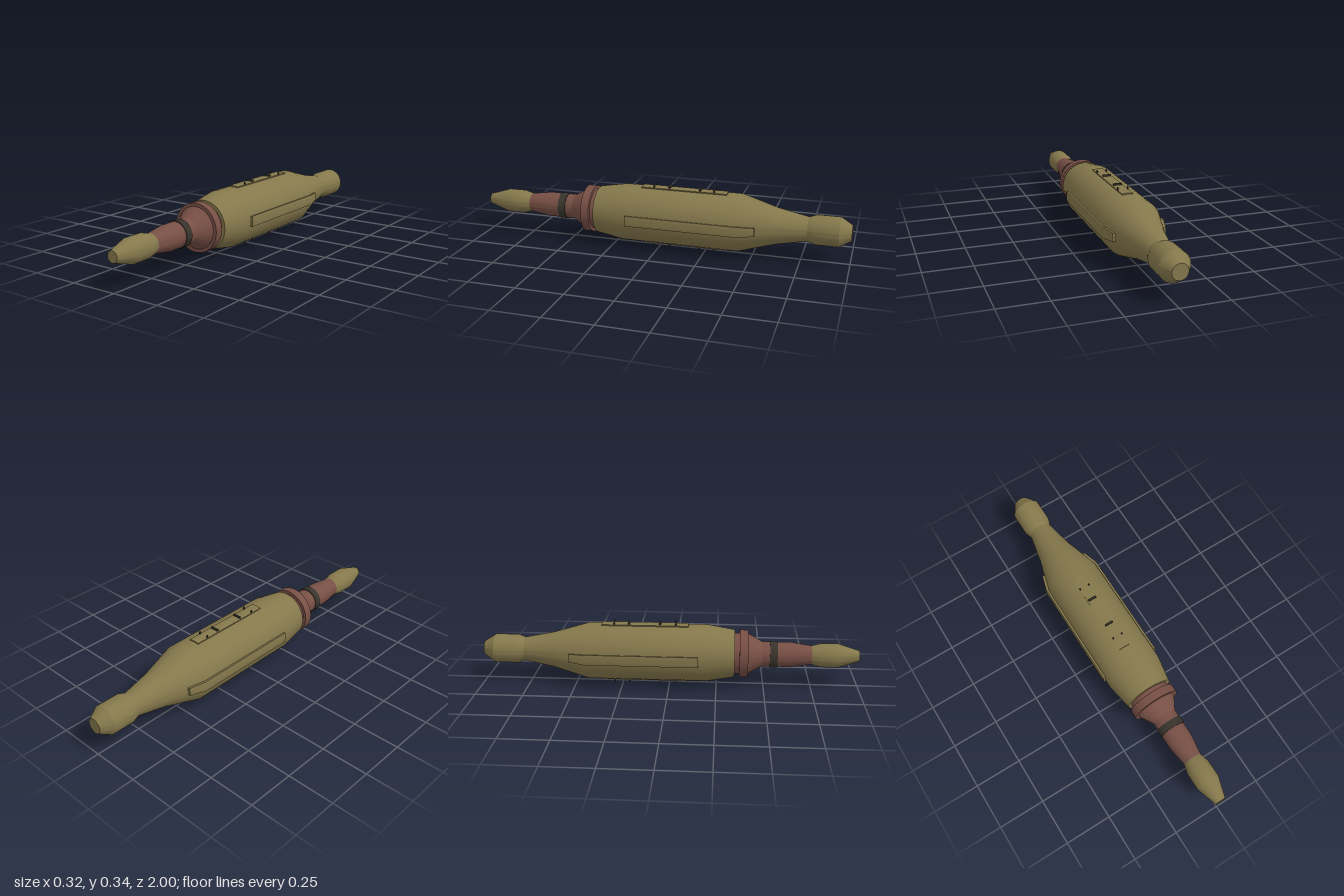
import * as THREE from 'three';
import { toCreasedNormals } from 'three/addons/utils/BufferGeometryUtils.js';

const olive = new THREE.MeshStandardMaterial({ name: 'olive', color: 0x85784c });
const brown = new THREE.MeshStandardMaterial({ name: 'reddish brown', color: 0x774f45 });
const dark = new THREE.MeshStandardMaterial({ name: 'dark grey', color: 0x38342c });

const AXIS_Y = 0.169;

function add(parent, name, geometry, material) {
  const mesh = new THREE.Mesh(geometry, material);
  mesh.name = name;
  parent.add(mesh);
  return mesh;
}

// Round part along z from [z, radius] pairs, listed from back to front
function turned(profile) {
  const points = profile.map(([z, r]) => new THREE.Vector2(r, z));
  const geometry = new THREE.LatheGeometry(points, 64).rotateX(Math.PI / 2);
  return toCreasedNormals(geometry, 0.45);
}

// Raised pad wrapped on the hull's top: [z, outer radius, half width] sections, back to front
function wrappedPad(sections) {
  const n = sections.length - 1;
  const geometry = new THREE.BoxGeometry(1, 1, 1, 8, 1, n);
  const p = geometry.attributes.position;
  for (let i = 0; i < p.count; i++) {
    const [z, r, half] = sections[Math.round((p.getZ(i) + 0.5) * n)];
    const angle = p.getX(i) * 2 * Math.asin(half / r);
    const radius = p.getY(i) > 0 ? r : r - 0.03;
    p.setXYZ(i, radius * Math.sin(angle), radius * Math.cos(angle), z);
  }
  return toCreasedNormals(geometry, 0.4);
}

export function createModel() {
  const model = new THREE.Group();
  model.name = 'model';
  const hull = new THREE.Group();
  hull.name = 'hull';
  hull.position.y = AXIS_Y;
  model.add(hull);

  // Main body with tapered tail and rear bulb
  add(hull, 'body', turned([
    [-1, 0], [-1, 0.04], [-0.94, 0.077], [-0.82, 0.077], [-0.78, 0.063],
    [-0.62, 0.095], [-0.43, 0.151], [0.2, 0.151], [0.345, 0.126], [0.345, 0],
  ]), olive);

  // Collar: recessed neck, flange, flare and slim shaft
  add(hull, 'collar', turned([
    [0.34, 0.108], [0.37, 0.108], [0.37, 0.126], [0.415, 0.126], [0.415, 0.108],
    [0.49, 0.066], [0.64, 0.066], [0.75, 0.05], [0.75, 0],
  ]), brown);
  add(hull, 'shaftBand', turned([
    [0.53, 0.06], [0.53, 0.07], [0.57, 0.07], [0.57, 0.06],
  ]), dark);

  // Nose
  add(hull, 'nose', turned([
    [0.745, 0], [0.745, 0.049], [0.8, 0.063], [0.89, 0.063], [1, 0.029], [1, 0],
  ]), olive);

  // Side strips that bend down over the tail taper
  const strip = wrappedPad([[-0.525, 0.137, 0.022], [-0.44, 0.162, 0.028], [0.155, 0.162, 0.028]]);
  for (const side of [1, -1]) {
    add(hull, side > 0 ? 'leftStrip' : 'rightStrip', strip, olive).rotation.z = -side * Math.PI / 2;
  }

  // Top and bottom mounting plates with bars and pins
  const plate = wrappedPad([[-0.36, 0.157, 0.029], [0.1, 0.157, 0.029]]);
  const bar = new THREE.BoxGeometry(0.044, 0.014, 0.01);
  const pin = new THREE.BoxGeometry(0.005, 0.02, 0.007);
  for (const side of [1, -1]) {
    const mount = new THREE.Group();
    mount.name = side > 0 ? 'topMount' : 'bottomMount';
    mount.rotation.z = side > 0 ? 0 : Math.PI;
    hull.add(mount);
    add(mount, 'plate', plate, olive);
    for (const z of [-0.215, -0.05]) add(mount, 'bar', bar, dark).position.set(0, 0.158, z);
    for (const z of [-0.293, 0.032]) {
      for (const x of [-0.026, 0.026]) add(mount, 'pin', pin, dark).position.set(x, 0.159, z);
    }
  }
  return model;
}
